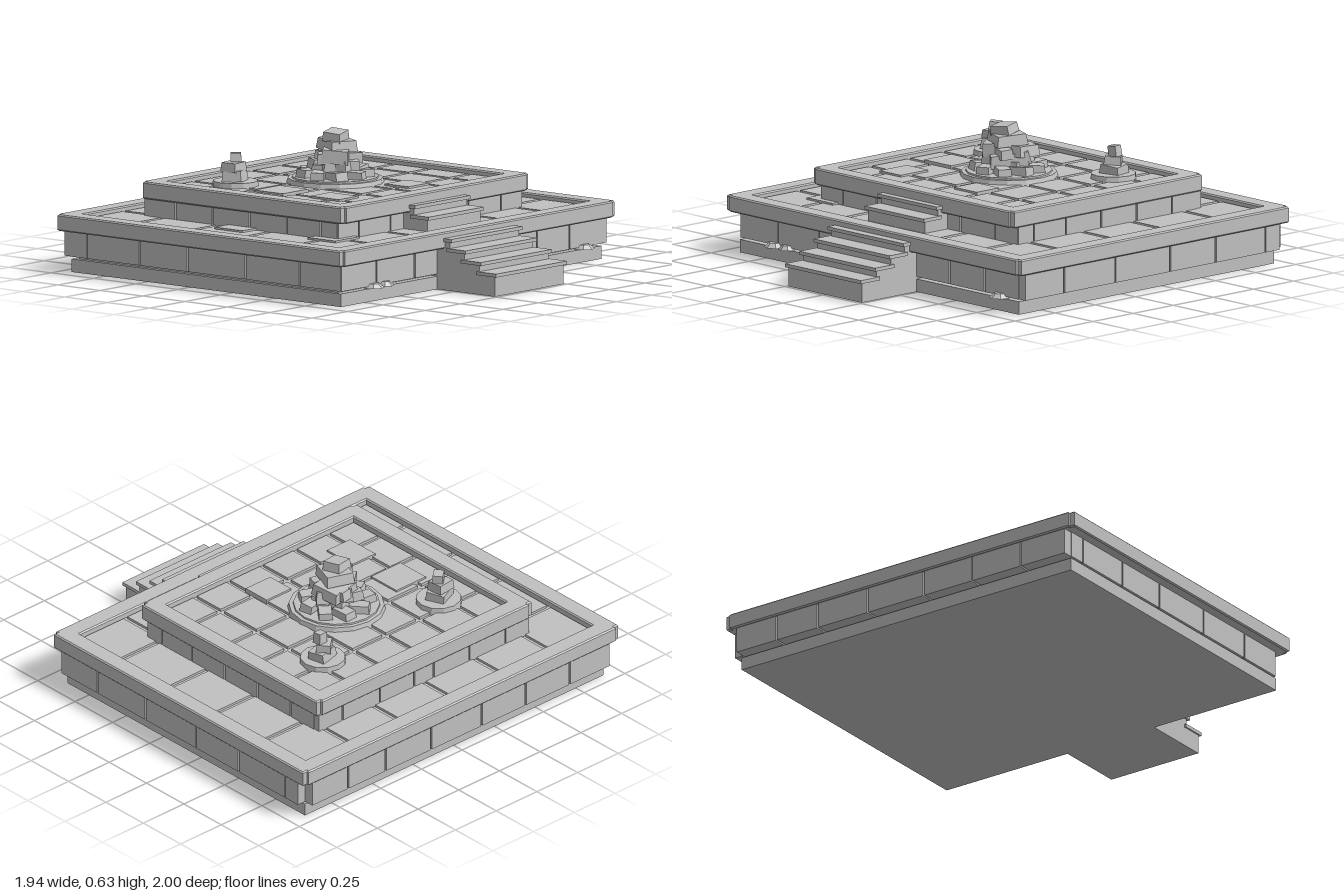
import * as THREE from 'three';

export function createModel() {
  const model = new THREE.Group();
  const stone = new THREE.MeshStandardMaterial({ color: 0xc0c0c0, flatShading: true });
  stone.name = 'grey stone';

  let seed = 7;
  const rand = () => (seed = (seed * 16807) % 2147483647) / 2147483647;

  const group = (name) => {
    const g = new THREE.Group();
    g.name = name;
    model.add(g);
    return g;
  };
  const add = (parent, name, geometry) => {
    const mesh = new THREE.Mesh(geometry, stone);
    mesh.name = name;
    parent.add(mesh);
    return mesh;
  };
  // Box given by its limits on each axis
  const block = (parent, name, x0, x1, y0, y1, z0, z1) => {
    const mesh = add(parent, name, new THREE.BoxGeometry(x1 - x0, y1 - y0, z1 - z0));
    mesh.position.set((x0 + x1) / 2, (y0 + y1) / 2, (z0 + z1) / 2);
    return mesh;
  };

  // Coping frame with notched corners and an open middle
  const coping = (name, x0, x1, z0, z1, y0, y1, width) => {
    const n = 0.025, b = 0.006;
    const [l, r, d, u] = [x0 + b, x1 - b, -z1 + b, -z0 - b];
    const shape = new THREE.Shape([
      [l + n, d], [r - n, d], [r - n, d + 0.012], [r, d + 0.012],
      [r, u - 0.012], [r - n, u - 0.012], [r - n, u], [l + n, u],
      [l + n, u - 0.012], [l, u - 0.012], [l, d + 0.012], [l + n, d + 0.012],
    ].map(([x, y]) => new THREE.Vector2(x, y)));
    const [hl, hr, hd, hu] = [x0 + width - b, x1 - width + b, -z1 + width - b, -z0 - width + b];
    shape.holes.push(new THREE.Path([
      new THREE.Vector2(hl, hd), new THREE.Vector2(hl, hu),
      new THREE.Vector2(hr, hu), new THREE.Vector2(hr, hd),
    ]));
    const geometry = new THREE.ExtrudeGeometry(shape, {
      depth: y1 - y0 - 2 * b, bevelEnabled: true, bevelSize: b, bevelThickness: b, bevelSegments: 1,
    });
    geometry.rotateX(-Math.PI / 2);
    add(model, name, geometry).position.y = y0 + b;
  };

  // Wall stones between joints, along x or along z
  const wall = (parent, alongX, joints, a, b, y0, y1) => {
    for (let i = 0; i < joints.length - 1; i++) {
      const s = joints[i] + 0.004, e = joints[i + 1] - 0.004;
      if (alongX) block(parent, 'wallStone', s, e, y0, y1, a, b);
      else block(parent, 'wallStone', a, b, y0, y1, s, e);
    }
  };

  // Paving slabs separated by grooves, with an optional hole for the upper tier
  const paving = (name, xs, zs, y0, y1, skip) => {
    const g = group(name);
    for (let i = 0; i < xs.length - 1; i++) {
      for (let j = 0; j < zs.length - 1; j++) {
        if (skip && skip(xs[i], xs[i + 1], zs[j], zs[j + 1])) continue;
        block(g, 'slab', xs[i] + 0.012, xs[i + 1] - 0.012, y0, y1, zs[j] + 0.012, zs[j + 1] - 0.012);
      }
    }
  };

  // Lower tier
  block(model, 'base', -0.92, 0.915, 0, 0.06, -0.945, 0.645);
  block(model, 'lowerCore', -0.9, 0.9, 0.055, 0.235, -0.92, 0.61);
  const lowerWall = group('lowerWall');
  const lowerX = [-0.92, -0.67, -0.4, -0.13, 0.18, 0.46, 0.69, 0.915];
  const lowerZ = [-0.945, -0.855, -0.545, -0.26, 0.08, 0.4, 0.645];
  wall(lowerWall, true, lowerX, 0.56, 0.645, 0.07, 0.192);
  wall(lowerWall, true, lowerX, -0.99, -0.9, 0.07, 0.192);
  wall(lowerWall, false, lowerZ, 0.86, 0.955, 0.07, 0.192);
  wall(lowerWall, false, lowerZ, -0.92, -0.85, 0.07, 0.192);
  coping('lowerCoping', -0.97, 0.968, -1, 0.69, 0.19, 0.265, 0.09);
  paving('lowerPaving', [-0.88, -0.61, -0.31, 0, 0.31, 0.61, 0.88],
    [-0.91, -0.635, -0.31, 0, 0.33, 0.6], 0.22, 0.246,
    (x0, x1, z0, z1) => x0 > -0.62 && x1 < 0.62 && z0 > -0.65 && z1 < 0.34);

  // Upper tier
  block(model, 'upperCore', -0.63, 0.63, 0.23, 0.37, -0.72, 0.38);
  const upperWall = group('upperWall');
  const upperX = [-0.65, -0.5, -0.28, -0.06, 0.06, 0.27, 0.5, 0.65];
  const upperZ = [-0.72, -0.56, -0.34, -0.12, 0.1, 0.3, 0.4];
  wall(upperWall, true, upperX, 0.32, 0.4, 0.24, 0.328);
  wall(upperWall, true, upperX, -0.745, -0.66, 0.24, 0.328);
  wall(upperWall, false, upperZ, 0.56, 0.65, 0.24, 0.328);
  wall(upperWall, false, upperZ, -0.65, -0.56, 0.24, 0.328);
  coping('upperCoping', -0.663, 0.657, -0.753, 0.44, 0.325, 0.403, 0.087);
  paving('upperPaving', [-0.576, -0.41, -0.205, 0, 0.205, 0.41, 0.57],
    [-0.666, -0.49, -0.28, -0.07, 0.17, 0.353], 0.36, 0.383);

  // Slabs that have lifted out of line
  const loose = group('looseSlabs');
  for (const [x, z, w, d, y] of [
    [-0.38, -0.16, 0.18, 0.17, 0.385], [-0.37, 0.145, 0.14, 0.17, 0.385], [0.125, 0.16, 0.15, 0.14, 0.385],
    [-0.66, -0.165, 0.17, 0.165, 0.248], [-0.62, 0.35, 0.17, 0.165, 0.248],
  ]) block(loose, 'looseSlab', x - w / 2, x + w / 2, y - 0.02, y + 0.007, z - d / 2, z + d / 2);

  // Flat rubble lying on the ledge at the front
  for (const [x, w] of [[-0.69, 0.1], [-0.61, 0.08], [0.79, 0.1]]) {
    const chip = add(loose, 'ledgeRubble', new THREE.CylinderGeometry(w * 0.28, w / 2, 0.02, 7));
    chip.position.set(x, 0.072, 0.645);
  }

  // Steps with projecting treads
  const stairs = (name, half, zBack, y0, steps) => {
    const g = group(name);
    steps.forEach(([z, y], i) => {
      const back = i < steps.length - 1 ? steps[i + 1][0] - 0.03 : zBack;
      block(g, 'riser', -half + 0.008, half - 0.008, y0, y - 0.008, back, z - 0.014);
      block(g, 'tread', -half, half, y - 0.016, y, back, z);
    });
  };
  stairs('lowerStairs', 0.25, 0.6, 0, [[1, 0.106], [0.91, 0.15], [0.82, 0.194], [0.735, 0.238]]);
  stairs('upperStairs', 0.195, 0.38, 0.23, [[0.555, 0.315], [0.475, 0.36]]);

  // Round plinths
  const disc = (name, x, z, r, y0, y1, sides) => {
    const m = add(model, name, new THREE.CylinderGeometry(r * 0.96, r, y1 - y0, sides));
    m.position.set(x, (y0 + y1) / 2, z);
  };
  disc('mainPlinth', 0, -0.16, 0.226, 0.37, 0.403, 16);
  disc('mainPlinthTop', 0, -0.16, 0.205, 0.37, 0.41, 16);
  disc('leftPlinth', 0.365, -0.465, 0.108, 0.37, 0.406, 12);
  disc('rightPlinth', -0.375, -0.435, 0.108, 0.37, 0.406, 12);

  // Broken stones: a tapered box, slightly tilted
  const rock = (parent, x, y, z, w, h, d, turn) => {
    const geometry = new THREE.BoxGeometry(w, h, d);
    const p = geometry.attributes.position;
    for (let i = 0; i < p.count; i++) {
      if (p.getY(i) > 0) p.setXYZ(i, p.getX(i) * 0.9, p.getY(i), p.getZ(i) * 0.92);
    }
    geometry.computeVertexNormals();
    const m = add(parent, 'rock', geometry);
    m.position.set(x, y, z);
    m.rotation.set((rand() - 0.5) * 0.22, turn, (rand() - 0.5) * 0.22);
  };

  // Main pile: a ring of rubble around a rough stacked column
  const pile = group('mainRockPile');
  pile.position.set(0, 0, -0.16);
  for (let i = 0; i < 9; i++) {
    const a = (i / 9) * Math.PI * 2 + 0.3;
    rock(pile, Math.cos(a) * 0.125, 0.422, Math.sin(a) * 0.125, 0.1, 0.045, 0.065, -a + 0.5);
  }
  for (const [x, y, z, w, h, turn] of [
    [0, 0.43, 0, 0.19, 0.07, 0.3], [0.01, 0.475, 0.01, 0.19, 0.055, 0.9],
    [0.03, 0.505, -0.02, 0.16, 0.05, 0.15], [-0.03, 0.515, 0.03, 0.14, 0.06, 0.6],
    [0, 0.555, 0.01, 0.15, 0.05, 1.2], [-0.015, 0.598, 0.015, 0.1, 0.042, 0.25],
  ]) rock(pile, x, y, z, w, h, w * 0.9, turn);
  for (let i = 0; i < 6; i++) {
    const a = (i / 6) * Math.PI * 2;
    rock(pile, Math.cos(a) * 0.08, 0.465 + (i % 2) * 0.035, Math.sin(a) * 0.08, 0.08, 0.045, 0.06, -a + 0.7);
  }

  // Small piles on the rear plinths
  const smallPile = (name, x, z, layers) => {
    const g = group(name);
    g.position.set(x, 0, z);
    for (const [dx, y, w, h, turn] of layers) rock(g, dx, y, dx * 0.5, w, h, w * 0.85, turn);
  };
  smallPile('rightRockPile', -0.38, -0.435,
    [[0, 0.425, 0.11, 0.05, 0.4], [-0.005, 0.47, 0.095, 0.042, 0.1], [0.005, 0.513, 0.06, 0.04, 0.7]]);
  smallPile('leftRockPile', 0.37, -0.465,
    [[0, 0.425, 0.105, 0.045, 0.2], [-0.01, 0.465, 0.08, 0.04, 0.7], [0.008, 0.51, 0.05, 0.05, 0.1]]);

  return model;
}
